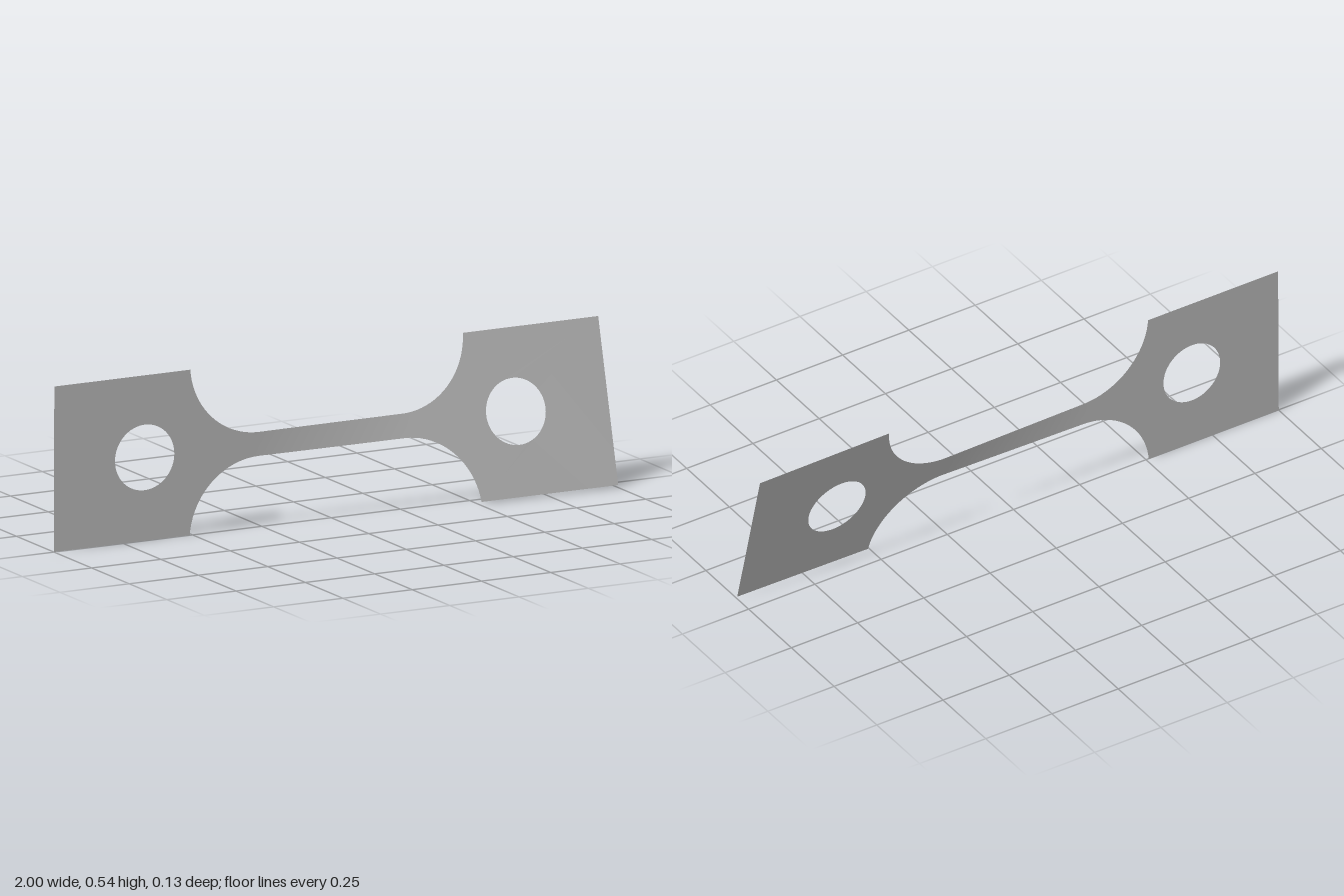
import * as THREE from 'three';

const MID = 0.272, HALF = 0.27;          // centre height and half height of the end tabs
const NECK = 0.039, FILLET = 0.25;       // half height of the neck, fillet radius
const FILLET_X = 0.26;                   // x where the fillets start
const TAB_X = FILLET_X + Math.sqrt(FILLET ** 2 - (NECK + FILLET - HALF) ** 2);

// Sheet angle about the x axis: flat at one end, turned at the other
function twist(x) {
  const t = THREE.MathUtils.clamp((x + 0.28) / 0.56, 0, 1);
  const end = Math.max(0, (x - TAB_X) / (1 - TAB_X));
  return THREE.MathUtils.degToRad(-0.4 + 13.7 * t + end);
}

// Turns each vertex of a flat sheet by the twist and lifts it into place
function twistSheet(geometry) {
  const p = geometry.attributes.position;
  for (let i = 0; i < p.count; i++) {
    const a = twist(p.getX(i)), y = p.getY(i);
    p.setXYZ(i, p.getX(i), MID + y * Math.cos(a), -y * Math.sin(a));
  }
  geometry.computeVertexNormals();
  return geometry;
}

// Half height of the sheet between the tabs
function halfHeight(x) {
  const d = Math.max(0, Math.abs(x) - FILLET_X);
  return NECK + FILLET - Math.sqrt(FILLET ** 2 - d ** 2);
}

export function createModel() {
  const group = new THREE.Group();
  const metal = new THREE.MeshStandardMaterial({ color: 0xb8b8b8, side: THREE.DoubleSide });
  metal.name = 'sheet grey';
  const add = (name, geometry) => {
    const mesh = new THREE.Mesh(twistSheet(geometry), metal);
    mesh.name = name;
    group.add(mesh);
  };

  // End tabs with a round hole
  for (const [name, side, holeX] of [['rightTab', -1, -0.673], ['leftTab', 1, 0.667]]) {
    const x0 = Math.min(side, side * TAB_X), x1 = Math.max(side, side * TAB_X);
    const tab = new THREE.Shape([
      new THREE.Vector2(x0, -HALF), new THREE.Vector2(x1, -HALF),
      new THREE.Vector2(x1, HALF), new THREE.Vector2(x0, HALF),
    ]);
    tab.holes.push(new THREE.Path().absarc(holeX, 0.002, 0.107, 0, Math.PI * 2, true));
    add(name, new THREE.ShapeGeometry(tab, 32));
  }

  // Columns of the neck: even along the straight, by angle along the fillets
  const columns = [];
  const sweep = Math.asin((TAB_X - FILLET_X) / FILLET);
  for (let i = 20; i > 0; i--) columns.push(-FILLET_X - FILLET * Math.sin(sweep * i / 20));
  for (let i = 0; i <= 24; i++) columns.push(FILLET_X * (i / 12 - 1));
  for (let i = 1; i <= 20; i++) columns.push(FILLET_X + FILLET * Math.sin(sweep * i / 20));

  // Twisted neck with its fillets
  const rows = 4;
  const neck = new THREE.PlaneGeometry(1, 2, columns.length - 1, rows);
  const p = neck.attributes.position;
  for (let i = 0; i < p.count; i++) {
    const x = columns[i % columns.length];
    p.setXY(i, x, p.getY(i) * halfHeight(x));
  }
  add('twistedNeck', neck);

  return group;
}
